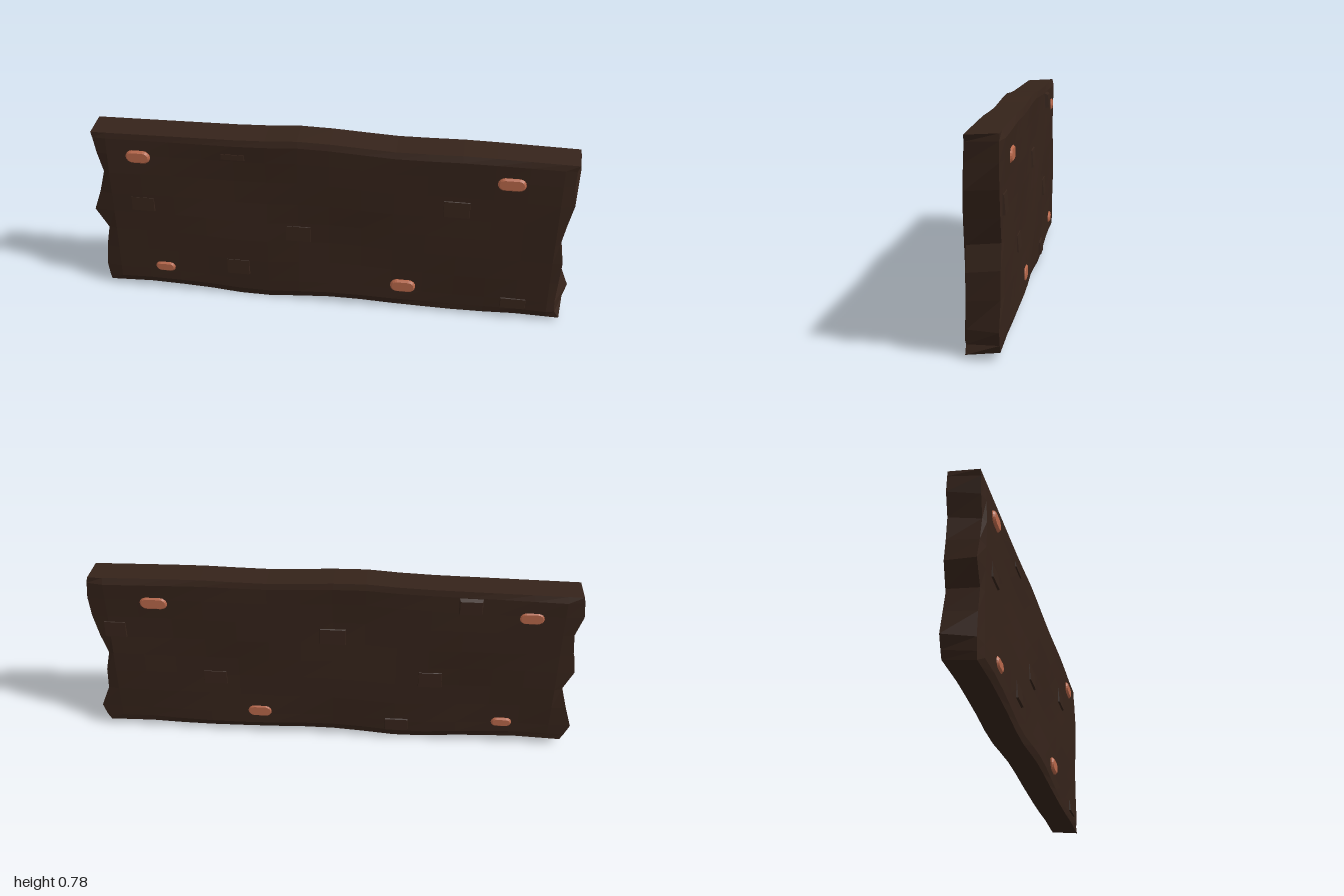
import * as THREE from 'three';

// piecewise-linear lookup in [position, value] pairs
function lerpTable(table, t) {
  for (let i = 1; i < table.length; i++) {
    const [a, va] = table[i - 1], [b, vb] = table[i];
    if (t <= b) return va + (vb - va) * Math.max(0, (t - a) / (b - a));
  }
  return table[table.length - 1][1];
}

// long edges as height along x
const TOP = [[-1, .762], [-.7, .766], [-.3, .772], [-.2, .781], [-.08, .787], [.05, .779], [.28, .768], [.55, .774], [1, .765]];
const BOTTOM = [[-1, .02], [-.75, .03], [-.5, .018], [-.32, 0], [-.1, .02], [.05, .03], [.3, .02], [.6, .016], [.75, .025], [1, .02]];
// splintered ends: for each row height, x at left/right end on the front and back
const ROWS = [.02, .05, .1, .2, .3, .39, .48, .58, .67, .74, .765];
const ENDS = {
  '1,1': [.965, .945, .94, .945, .95, .93, .945, .965, .955, .955, .965],
  '1,-1': [.965, .98, .995, .955, .95, .93, .955, .975, .982, .975, .97],
  '-1,1': [-.965, -.97, -.975, -.965, -.945, -.995, -.962, -.935, -.955, -.965, -.97],
  '-1,-1': [-.965, -.98, -1, -.97, -.94, -.98, -.965, -.955, -.982, -.975, -.97],
};
const COLS = 16;

// gentle hewn relief of the broad faces
const faceDepth = (x, y, side) =>
  side * (.067 + .004 * Math.sin(x * 7 + side) * Math.cos(y * 11) + .003 * Math.cos(x * 3 + y * 6 + side));

function boardGeometry() {
  const rows = ROWS.length - 1;
  const geo = new THREE.BoxGeometry(1, 1, 1, COLS, rows, 1);
  const p = geo.attributes.position;
  for (let i = 0; i < p.count; i++) {
    const c = Math.round((p.getX(i) + .5) * COLS);
    const r = Math.round((p.getY(i) + .5) * rows);
    const side = Math.sign(p.getZ(i));
    const atEnd = c === 0 || c === COLS;
    const x = atEnd ? ENDS[`${c ? 1 : -1},${side}`][r] : -.91 + 1.82 * (c - 1) / (COLS - 2);
    const low = lerpTable(BOTTOM, x) + (side < 0 ? .012 : 0);
    const high = lerpTable(TOP, x) - (side > 0 ? .007 : 0);
    const y = low + (high - low) * (ROWS[r] - .02) / .745;
    const rim = atEnd || r === 0 || r === rows;
    p.setXYZ(i, x, y, rim ? side * .059 : faceDepth(x, y, side));
  }
  return geo;
}

// shallow chip: a box whose outer face is smaller and leans towards one corner
function chipGeometry(w, h, d, lean) {
  const geo = new THREE.BoxGeometry(w, h, d);
  const p = geo.attributes.position;
  for (let i = 0; i < p.count; i++) {
    if (p.getZ(i) > 0) p.setXYZ(i, p.getX(i) * .85, p.getY(i) * .75 - h * .06, d / 2 + p.getY(i) * lean);
  }
  return geo;
}

// rounded-ended nail running right through the board
function nailGeometry(w, h) {
  const bevel = .007, r = h / 2 - bevel, s = w / 2 - h / 2;
  const shape = new THREE.Shape();
  shape.absarc(s, 0, r, -Math.PI / 2, Math.PI / 2, false);
  shape.absarc(-s, 0, r, Math.PI / 2, Math.PI * 1.5, false);
  const geo = new THREE.ExtrudeGeometry(shape, {
    depth: .138, curveSegments: 4, bevelSize: bevel, bevelThickness: bevel, bevelSegments: 1,
  });
  return geo.translate(0, 0, -.067);
}

export function createModel() {
  const group = new THREE.Group();
  const wood = new THREE.MeshStandardMaterial({ color: 0x35231a, flatShading: true });
  const copper = new THREE.MeshStandardMaterial({ color: 0xb8674a, flatShading: true });
  const add = (name, geo, mat, x = 0, y = 0, z = 0) => {
    const mesh = new THREE.Mesh(geo, mat);
    mesh.name = name;
    mesh.position.set(x, y, z);
    group.add(mesh);
    return mesh;
  };

  add('board', boardGeometry(), wood);

  // chips: x, y, width, height, proud of the face by
  const frontChips = [
    [-.78, .44, .11, .08, .004], [.51, .53, .12, .09, .006], [-.13, .35, .12, .09, .005],
    [-.39, .16, .11, .09, .005], [-.39, .69, .11, .03, .004], [.77, .085, .12, .06, .006],
  ];
  const backChips = [
    [.885, .53, .1, .09, .006], [0, .535, .12, .09, .007], [-.54, .71, .1, .075, .015],
    [-.4, .34, .11, .09, .006], [-.27, .09, .11, .07, .008], [.49, .3, .11, .08, .005],
  ];
  for (const [chips, side] of [[frontChips, 1], [backChips, -1]]) {
    for (const [x, y, w, h, proud] of chips) {
      const d = .03;
      const z = faceDepth(x, y, side) + side * (proud - d / 2);
      const chip = add(side > 0 ? 'frontChip' : 'backChip', chipGeometry(w, h, d, -.06), wood, x, y, z);
      if (side < 0) chip.rotation.y = Math.PI;
    }
  }

  // nails: x, y, width, height
  for (const [x, y, w, h] of [[-.78, .66, .1, .055], [.715, .66, .11, .055], [-.71, .122, .085, .045], [.31, .125, .105, .058]]) {
    add('nail', nailGeometry(w, h), copper, x, y);
  }
  return group;
}
